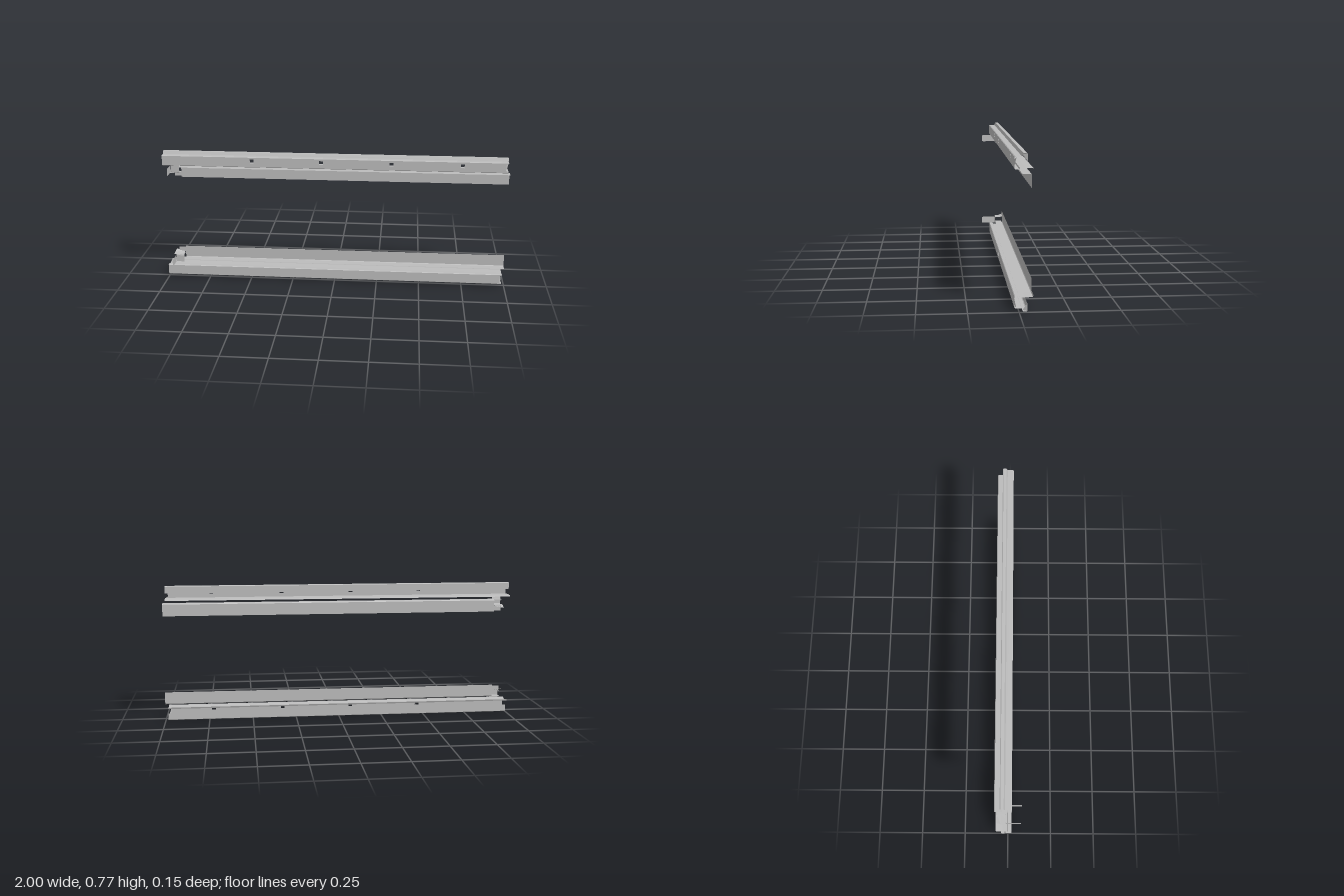
import * as THREE from 'three';

const steel = new THREE.MeshStandardMaterial({ color: 0xbcbcbc, side: THREE.DoubleSide });
steel.name = 'galvanised steel';

// Thin folded sheet: a flat-shaded strip between two matching 3D polylines
function sheet(name, a, b) {
  const v = [];
  for (let i = 0; i < a.length - 1; i++) {
    v.push(...a[i], ...b[i], ...b[i + 1], ...a[i], ...b[i + 1], ...a[i + 1]);
  }
  const g = new THREE.BufferGeometry();
  g.setAttribute('position', new THREE.Float32BufferAttribute(v, 3));
  g.computeVertexNormals();
  const m = new THREE.Mesh(g, steel);
  m.name = name;
  return m;
}

// One rail pair; flip maps a height to the upper or lower pair
function railPair(name, flip, holeY) {
  const group = new THREE.Group();
  group.name = name;
  const fold = (part, pts, x0, x1) => {
    const at = x => pts.map(([z, y]) => [x, flip(y), z]);
    group.add(sheet(part, at(x0), at(x1)));
  };

  // Outer channel: hooked lip, ledge, then the far shelf
  fold('outerLip', [[-0.041, 0.04], [-0.041, 0.003], [-0.037, 0], [-0.02, 0],
    [-0.013, 0.016], [0.018, 0.016], [0.022, 0.019]], -1, 0.985);
  fold('outerShelf', [[0.022, 0.074], [0.019, 0.077], [0, 0.077], [-0.003, 0.07],
    [-0.03, 0.07], [-0.068, 0.072], [-0.071, 0.08]], -1, 0.985);

  // Front wall with square fixing holes and a notched end
  const wall = new THREE.Shape([[-1, 0.019], [0.985, 0.019], [0.97, 0.03], [0.97, 0.063],
    [0.985, 0.074], [-1, 0.074]].map(([x, y]) => new THREE.Vector2(x, flip(y))));
  for (const x of [-0.475, -0.075, 0.325, 0.727]) {
    const r = 0.011;
    wall.holes.push(new THREE.Path([[-r, -r], [r, -r], [r, r], [-r, r]]
      .map(([dx, dy]) => new THREE.Vector2(x + dx, holeY + dy))));
  }
  const wallMesh = new THREE.Mesh(new THREE.ShapeGeometry(wall), steel);
  wallMesh.name = 'outerWall';
  wallMesh.position.z = 0.022;
  group.add(wallMesh);

  // Bent corners at the open end
  const tri = (part, p) => group.add(sheet(part, [p[0], p[1]], [p[2], p[2]]));
  tri('lipEndStop', [[0.985, flip(0.04), -0.041], [0.985, flip(0.002), -0.041], [0.975, flip(0.006), -0.018]]);
  tri('wallEndStop', [[0.97, flip(0.03), 0.022], [0.97, flip(0.063), 0.022], [0.984, flip(0.019), 0.013]]);

  // Inner angle: upright plate with a forward flange
  fold('innerAngle', [[-0.06, 0.168], [-0.06, 0.102], [-0.057, 0.098], [-0.014, 0.098]], -0.91, 1);
  fold('innerPlateTongue', [[-0.06, 0.162], [-0.06, 0.132]], -0.95, -0.91);

  // End bracket: box fold with a flared wing
  fold('bracket', [[-0.055, 0.098], [-0.015, 0.098], [-0.012, 0.085], [-0.012, 0.124],
    [-0.014, 0.13], [-0.05, 0.13]], -0.958, -0.91);
  group.add(sheet('bracketWing',
    [[-0.97, flip(0.132), -0.012], [-0.97, flip(0.136), -0.04], [-0.965, flip(0.147), -0.064]],
    [[-0.915, flip(0.128), -0.012], [-0.915, flip(0.13), -0.04], [-0.915, flip(0.135), -0.064]]));

  // Rounded tab standing across the rail
  const [lo, hi] = [flip(0.083), flip(0.125)].sort((p, q) => p - q);
  const c = 0.008;
  const tab = new THREE.Shape();
  tab.moveTo(0.012, lo);
  tab.lineTo(-0.075 + c, lo);
  tab.quadraticCurveTo(-0.075, lo, -0.075, lo + c);
  tab.lineTo(-0.075, hi - c);
  tab.quadraticCurveTo(-0.075, hi, -0.075 + c, hi);
  tab.lineTo(0.012, hi);
  const tabMesh = new THREE.Mesh(new THREE.ShapeGeometry(tab, 4), steel);
  tabMesh.name = 'endTab';
  tabMesh.rotation.y = Math.PI / 2;
  tabMesh.position.x = -0.96;
  group.add(tabMesh);
  return group;
}

export function createModel() {
  const model = new THREE.Group();
  model.name = 'drawerRails';
  model.add(railPair('lowerRail', y => y, 0.051));
  model.add(railPair('upperRail', y => 0.773 - y, 0.732));
  return model;
}
